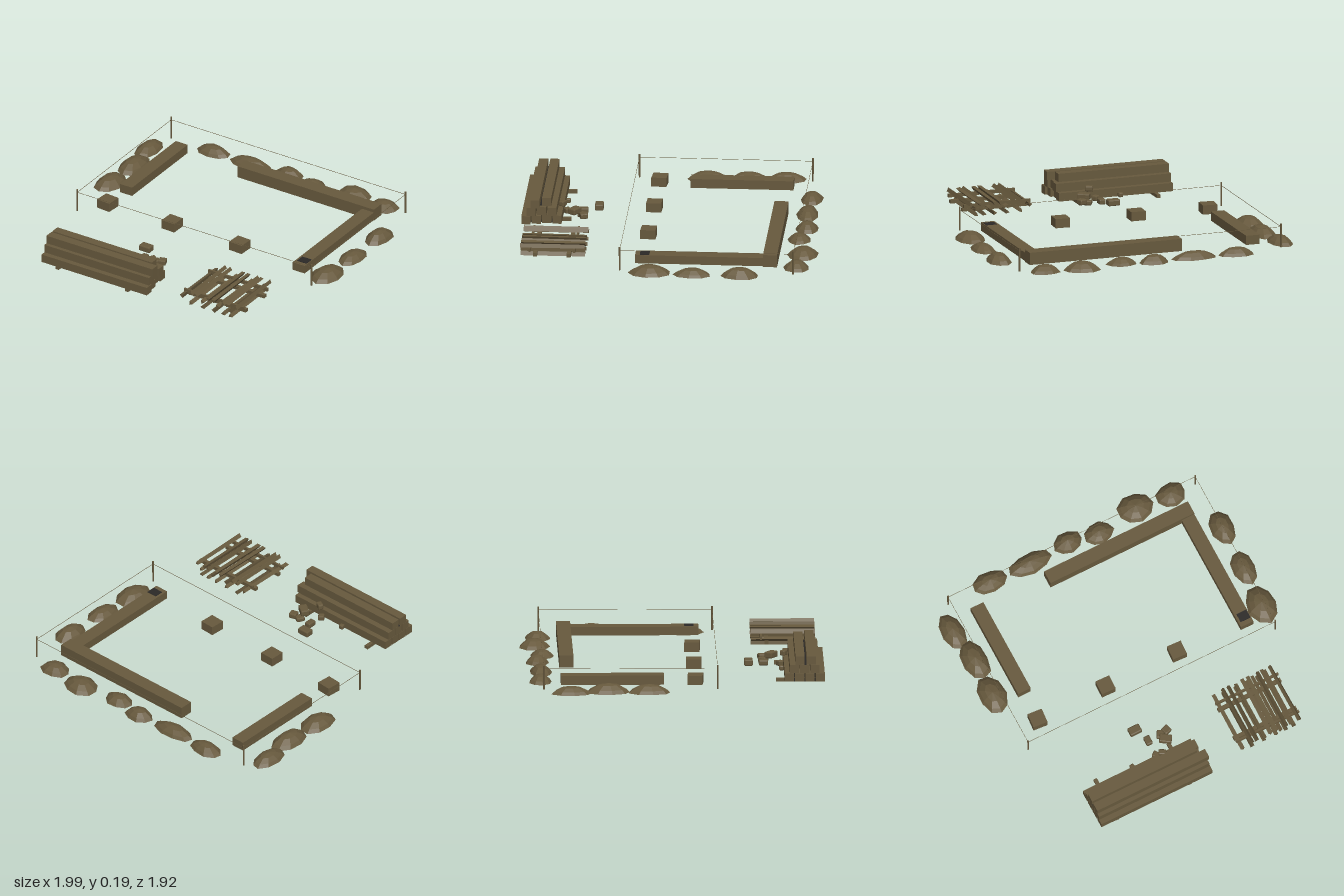
import * as THREE from 'three';
import { RoundedBoxGeometry } from 'three/addons/geometries/RoundedBoxGeometry.js';

const wood = new THREE.MeshStandardMaterial({ color: 0x67593d, flatShading: true, side: THREE.DoubleSide });
wood.name = 'brown';
const dark = new THREE.MeshStandardMaterial({ color: 0x2b2927 });
dark.name = 'dark recess';

// small seeded generator for natural variation
function seeded(seed) {
  return () => (seed = (seed * 16807) % 2147483647) / 2147483647;
}

// box without its bottom face
function openBox(w, h, d) {
  const geo = new THREE.BoxGeometry(w, h, d);
  geo.setIndex(Array.from(geo.index.array).filter((_, i) => i < 18 || i >= 24));
  geo.clearGroups();
  return geo;
}

// low irregular dome, open below, with a shallow skirt
function moundGeometry(rx, rz, h, rnd) {
  const profile = [[1, 0], [0.82, 0.38], [0.48, 0.82], [0.001, 1]].map(([r, y]) => new THREE.Vector2(r, y));
  const n = 9;
  const rim = Array.from({ length: n }, () => 0.93 + 0.14 * rnd());
  const geo = new THREE.LatheGeometry(profile, n);
  const p = geo.attributes.position;
  for (let i = 0; i < p.count; i++) {
    const k = rim[Math.floor(i / profile.length) % n];
    p.setXYZ(i, p.getX(i) * k * rx, p.getY(i) * h, p.getZ(i) * k * rz);
  }
  geo.computeVertexNormals();
  return geo;
}

export function createModel() {
  const root = new THREE.Group();
  root.name = 'buildingSite';
  const rnd = seeded(77);

  const group = (name) => {
    const g = new THREE.Group();
    g.name = name;
    root.add(g);
    return g;
  };
  const add = (parent, name, geo, x, y, z, mat = wood) => {
    const m = new THREE.Mesh(geo, mat);
    m.name = name;
    m.position.set(x, y, z);
    parent.add(m);
    return m;
  };
  // box given by its limits on each axis
  const box = (parent, name, x0, x1, y0, y1, z0, z1, mat) =>
    add(parent, name, new THREE.BoxGeometry(x1 - x0, y1 - y0, z1 - z0),
      (x0 + x1) / 2, (y0 + y1) / 2, (z0 + z1) / 2, mat);

  // foundation beams, open below
  const frame = group('foundation');
  [
    ['leftBeam', -0.765, -0.675, 0.02, 0.08, -0.72, -0.065],
    ['backBeam', -0.24, 0.79, 0.02, 0.1, -0.72, -0.63],
    ['rightBeam', 0.7, 0.79, 0.025, 0.08, -0.63, 0.185],
  ].forEach(([name, x0, x1, y0, y1, z0, z1]) => {
    add(frame, name, openBox(x1 - x0, y1 - y0, z1 - z0), (x0 + x1) / 2, (y0 + y1) / 2, (z0 + z1) / 2);
  });
  box(frame, 'beamSocket', 0.715, 0.785, 0.077, 0.083, 0.095, 0.155, dark);

  // foundation blocks along the front
  [[-0.73, -0.08], [-0.243, -0.03], [0.268, -0.05]].forEach(([x, turn]) => {
    add(frame, 'cornerBlock', openBox(0.097, 0.06, 0.097), x, 0.05, 0.135).rotation.y = turn;
  });

  // stakes and measuring string
  const marking = group('stringMarking');
  const xs = [-0.87, 0.9], zs = [-0.83, 0.275];
  for (const x of xs) {
    for (const z of zs) {
      add(marking, 'stake', new THREE.CylinderGeometry(0.006, 0.005, 0.155, 6), x, 0.0925, z);
    }
    box(marking, 'sideString', x - 0.001, x + 0.001, 0.149, 0.151, zs[0], zs[1]);
  }
  for (const z of zs) box(marking, 'crossString', xs[0], xs[1], 0.149, 0.151, z - 0.001, z + 0.001);

  // earth mounds [x, z, radius x, radius z, height]
  const mounds = group('earthMounds');
  [
    [-0.56, -0.845, 0.122, 0.075, 0.05], [-0.28, -0.84, 0.145, 0.07, 0.05],
    [0.0, -0.855, 0.1, 0.075, 0.055], [0.205, -0.82, 0.098, 0.077, 0.045],
    [0.49, -0.865, 0.125, 0.1, 0.055], [0.73, -0.84, 0.1, 0.083, 0.05],
    [-0.925, -0.66, 0.075, 0.13, 0.05], [-0.89, -0.42, 0.085, 0.135, 0.06],
    [-0.9, -0.16, 0.088, 0.135, 0.055], [0.92, -0.49, 0.077, 0.12, 0.06],
    [0.915, -0.19, 0.075, 0.12, 0.045], [0.9, 0.085, 0.1, 0.13, 0.055],
  ].forEach(([x, z, rx, rz, h]) => add(mounds, 'mound', moundGeometry(rx, rz, h, rnd), x, 0, z));

  // timber stack: four, three, then two squared logs on bearers
  const stack = group('timberStack');
  [
    [0.705, 0.0655, 4, [0.07, 0.06, 0.08, 0.095]],
    [0.737, 0.0655, 3, [0.08, 0.07, 0.09]],
    [0.773, 0.071, 2, [0.05, 0.1]],
  ].forEach(([z0, pitch, count, ends], row) => {
    for (let i = 0; i < count; i++) {
      const z = z0 + i * pitch, y = 0.022 + row * 0.055;
      box(stack, 'log', -0.7, ends[i], y, y + 0.054, z, z + 0.058);
    }
  });
  for (const x of [-0.585, -0.06]) box(stack, 'bearer', x - 0.012, x + 0.012, 0, 0.022, 0.65, 0.955);

  // dark gap between the top logs and dark underside between the bearers
  box(stack, 'topGap', -0.7, 0.04, 0.13, 0.134, 0.831, 0.844, dark);
  for (const [x0, x1] of [[-0.68, -0.6], [-0.57, -0.075], [-0.045, 0.04]]) {
    box(stack, 'underside', x0, x1, 0.02, 0.023, 0.74, 0.92, dark);
  }

  // loose offcuts [x, y, z, length, height, depth, turn]
  const offcuts = group('offcuts');
  [
    [-0.215, 0.048, 0.483, 0.08, 0.04, 0.055, 0], [-0.17, 0.035, 0.58, 0.042, 0.035, 0.06, 0],
    [-0.035, 0.045, 0.572, 0.05, 0.035, 0.05, 0.3], [-0.08, 0.035, 0.58, 0.05, 0.03, 0.055, -0.5],
    [-0.07, 0.065, 0.63, 0.08, 0.04, 0.055, -0.6], [-0.17, 0.03, 0.685, 0.04, 0.035, 0.04, 0.6],
    [-0.135, 0.09, 0.71, 0.05, 0.035, 0.035, -0.5], [-0.34, 0.035, 0.69, 0.03, 0.03, 0.03, 0.1],
  ].forEach(([x, y, z, l, h, d, turn]) => {
    add(offcuts, 'offcut', new RoundedBoxGeometry(l, h, d, 1, 0.007), x, y, z).rotation.y = turn;
  });

  // lath pile: split three-sided laths over cross battens
  const pile = group('lathPile');
  for (const [z, w, y] of [[0.575, 0.014, 0.075], [0.61, 0.026, 0.045], [0.825, 0.026, 0.045], [0.86, 0.014, 0.075]]) {
    box(pile, 'batten', 0.315, 0.765, y, y + 0.022, z - w / 2, z + w / 2);
  }
  [0.335, 0.4, 0.437, 0.49, 0.535, 0.575, 0.605, 0.645, 0.675, 0.7, 0.738].forEach((x, i) => {
    const geo = new THREE.CylinderGeometry(0.016, 0.014, 0.41, 3).rotateX(Math.PI / 2);
    const lath = add(pile, 'lath', geo, x, i % 3 === 0 ? 0.075 : 0.108, 0.715);
    lath.rotation.z = rnd() * 2;
    lath.rotation.y = (rnd() - 0.5) * 0.03;
    if (i % 2) add(pile, 'lowerLath', geo, x, 0.04, 0.715).rotation.z = rnd() * 2;
  });

  return root;
}
